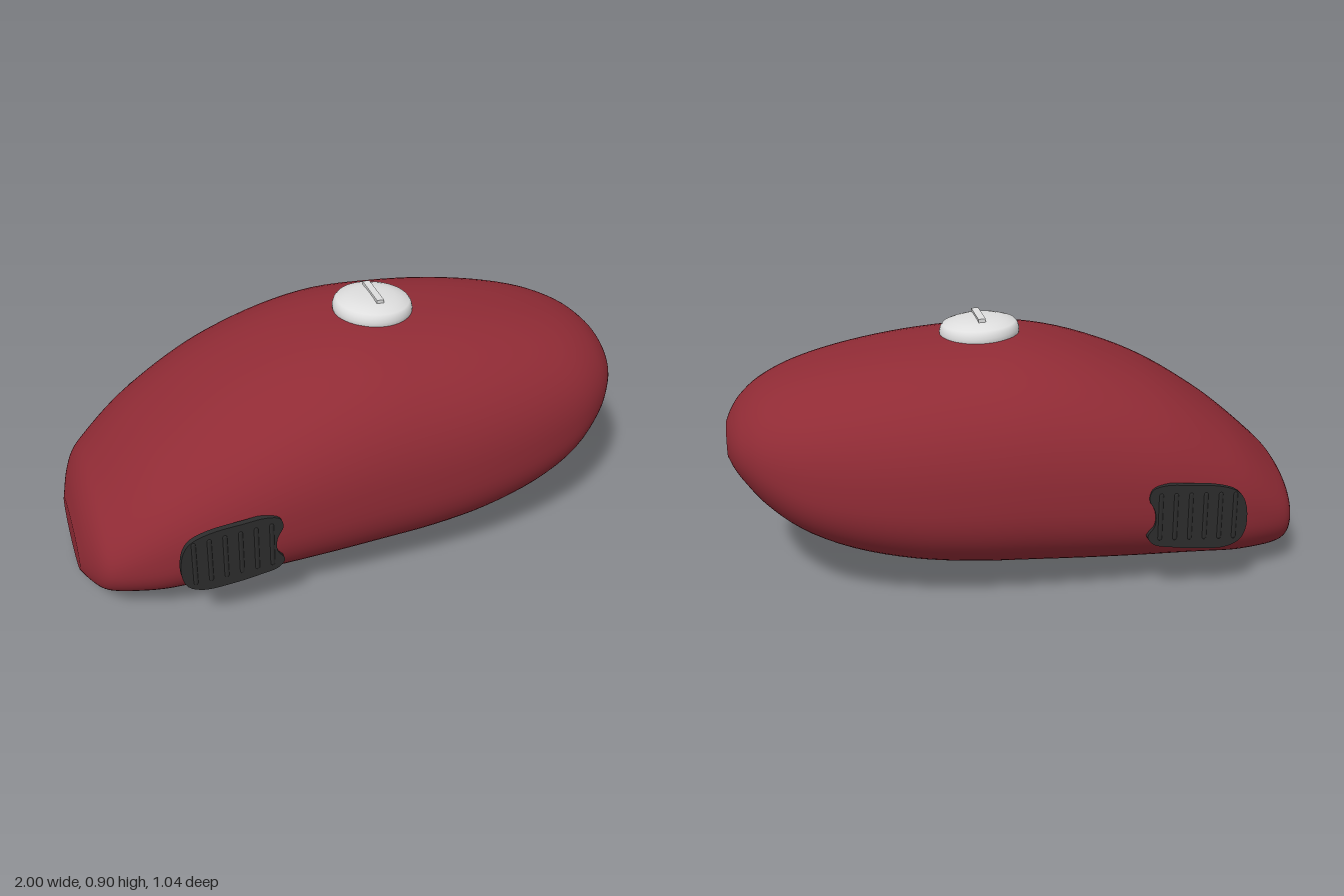
import * as THREE from 'three';

const paint = new THREE.MeshStandardMaterial({ color: 0x902b35 });
paint.name = 'red paint';
const rubber = new THREE.MeshStandardMaterial({ color: 0x2c2c2c });
rubber.name = 'black rubber';
const metal = new THREE.MeshStandardMaterial({ color: 0xdedede });
metal.name = 'silver metal';

// Tank cross-sections: [x, bottom y, top y, half width]
const SECTIONS = [
  [-1, 0.03, 0.21, 0.18], [-0.975, 0.015, 0.29, 0.265], [-0.94, 0.004, 0.35, 0.34],
  [-0.89, 0.001, 0.4, 0.38], [-0.8, 0.007, 0.48, 0.42], [-0.7, 0.015, 0.557, 0.45],
  [-0.55, 0.024, 0.655, 0.482], [-0.4, 0.03, 0.73, 0.504], [-0.2, 0.038, 0.8, 0.518],
  [0, 0.048, 0.836, 0.52], [0.2, 0.06, 0.832, 0.512], [0.4, 0.085, 0.815, 0.49],
  [0.6, 0.135, 0.782, 0.447], [0.77, 0.21, 0.737, 0.385], [0.88, 0.287, 0.69, 0.31],
  [0.945, 0.358, 0.64, 0.23], [0.98, 0.405, 0.595, 0.158], [1, 0.44, 0.555, 0.08],
];

function mesh(name, geometry, material, parent) {
  const m = new THREE.Mesh(geometry, material);
  m.name = name;
  parent.add(m);
  return m;
}

// Rounded section outline: fuller than an ellipse and widest below mid height
function sectionPoint(angle, bottom, top, half, fullness) {
  const c = Math.cos(angle), s = Math.sin(angle), power = 2 / (2 + 0.4 * fullness);
  const mid = bottom + (top - bottom) * (0.5 - 0.07 * fullness);
  const y = mid + Math.sign(c) * Math.abs(c) ** power * (c > 0 ? top - mid : mid - bottom);
  return [y, Math.sign(s) * Math.abs(s) ** power * half];
}

// Loft through the sections, turning to plain ellipses at the two ends
function tankGeometry() {
  const spline = (f) => new THREE.CatmullRomCurve3(SECTIONS.map(f), false, 'catmullrom', 0.5);
  const heights = spline((s) => new THREE.Vector3(s[0], s[1], s[2]));
  const widths = spline((s) => new THREE.Vector3(s[0], s[3], 0));
  const rings = 68, sides = 80, pos = [], index = [];
  for (let i = 0; i <= rings; i++) {
    const h = heights.getPoint(i / rings), half = widths.getPoint(i / rings).y;
    const fullness = THREE.MathUtils.smoothstep(1 - Math.abs(h.x), 0, 0.3);
    for (let j = 0; j < sides; j++) {
      const [y, z] = sectionPoint((j / sides) * Math.PI * 2, h.y, h.z, half, fullness);
      pos.push(h.x, y, z);
      if (i === rings) continue;
      const p = i * sides + j, q = i * sides + (j + 1) % sides;
      index.push(p, q, p + sides, q, q + sides, p + sides);
    }
  }
  const g = new THREE.BufferGeometry();
  g.setAttribute('position', new THREE.Float32BufferAttribute(pos, 3));
  g.setIndex(index);
  g.computeVertexNormals();
  return g;
}

// Flat oval closing one end of the tank
function endFace(name, [x, bottom, top, half], parent) {
  const m = mesh(name, new THREE.CircleGeometry(1, 80), paint, parent);
  m.scale.set(half, (top - bottom) / 2, 1);
  m.rotation.y = Math.sign(x) * Math.PI / 2;
  m.position.set(x, (top + bottom) / 2, 0);
}

// Ribbed knee pad with a notched front edge
function kneePad(name, z, parent) {
  const pad = new THREE.Group();
  pad.name = name;
  pad.position.z = z;
  const outline = [
    [-0.71, 0.25], [-0.702, 0.335], [-0.675, 0.375], [-0.61, 0.4], [-0.5, 0.412],
    [-0.42, 0.417], [-0.376, 0.404], [-0.365, 0.37], [-0.386, 0.325], [-0.387, 0.275],
    [-0.363, 0.235], [-0.385, 0.205], [-0.45, 0.19], [-0.55, 0.177], [-0.64, 0.176],
    [-0.69, 0.2],
  ].map(([x, y]) => new THREE.Vector3(x, y, 0));
  const curve = new THREE.CatmullRomCurve3(outline, true);
  const shape = new THREE.Shape(curve.getPoints(64).slice(0, -1).map((p) => new THREE.Vector2(p.x, p.y)));
  const plate = new THREE.ExtrudeGeometry(shape, { depth: 0.02, bevelEnabled: false });
  mesh('padPlate', plate.translate(0, 0, -0.01), rubber, pad);
  for (let i = 0; i < 6; i++) {
    const rib = mesh('padRib', new THREE.CapsuleGeometry(0.012, 0.155, 4, 10), rubber, pad);
    rib.position.set(-0.665 + i * 0.052, 0.29 + i * 0.003, 0);
    rib.scale.z = 1.15;
  }
  parent.add(pad);
}

export function createModel() {
  const model = new THREE.Group();
  model.name = 'fuelTank';

  mesh('tankBody', tankGeometry(), paint, model);
  endFace('rearFace', SECTIONS[0], model);
  endFace('frontFace', SECTIONS[SECTIONS.length - 1], model);

  kneePad('leftKneePad', 0.501, model);
  kneePad('rightKneePad', -0.501, model);

  // Filler cap, tipped slightly to follow the tank top
  const cap = new THREE.Group();
  cap.name = 'fillerCap';
  cap.position.set(0.115, 0.832, 0);
  cap.rotation.z = -0.05;
  const profile = [
    [0.136, -0.01], [0.139, 0], [0.139, 0.012], [0.135, 0.026], [0.127, 0.036],
    [0.1, 0.046], [0.075, 0.053], [0.04, 0.056], [0, 0.057],
  ].map(([r, y]) => new THREE.Vector2(r, y));
  mesh('capDome', new THREE.LatheGeometry(profile, 48), metal, cap);
  mesh('capGripBar', new THREE.BoxGeometry(0.025, 0.02, 0.15), metal, cap).position.y = 0.055;
  model.add(cap);

  return model;
}
